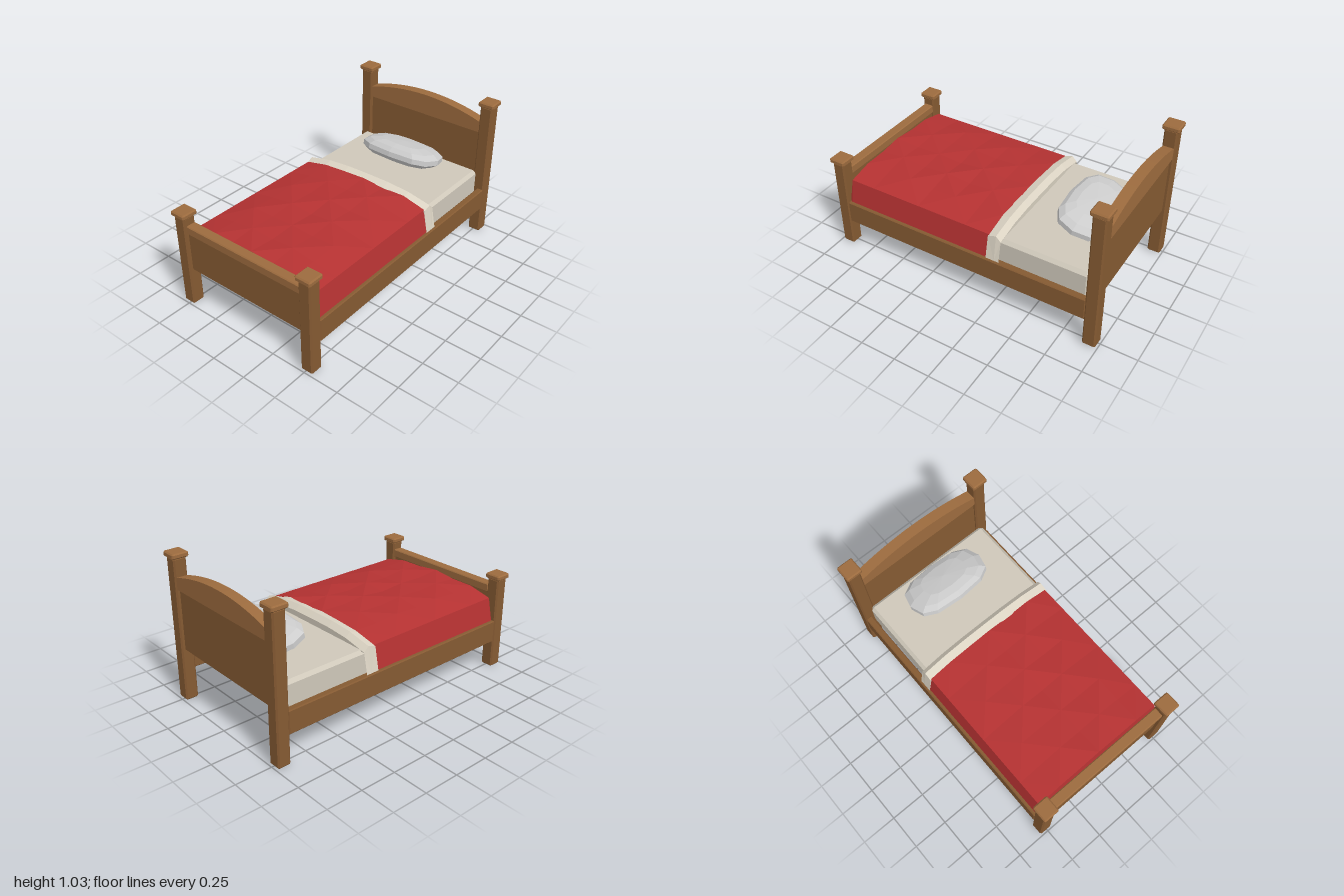
import * as THREE from 'three';
import { ConvexGeometry } from 'three/addons/geometries/ConvexGeometry.js';

const mat = (color, side = THREE.FrontSide) =>
  new THREE.MeshStandardMaterial({ color, flatShading: true, side });

// Box with chamfered edges, given by its extents on each axis
function chamferBox([x0, x1], [y0, y1], [z0, z1], b) {
  const half = [(x1 - x0) / 2, (y1 - y0) / 2, (z1 - z0) / 2];
  const pts = [];
  for (const sx of [-1, 1]) for (const sy of [-1, 1]) for (const sz of [-1, 1])
    for (let axis = 0; axis < 3; axis++) {
      const p = half.map((h, i) => (i === axis ? h : h - b));
      pts.push(new THREE.Vector3(sx * p[0], sy * p[1], sz * p[2]));
    }
  return new ConvexGeometry(pts).translate((x0 + x1) / 2, (y0 + y1) / 2, (z0 + z1) / 2);
}

// Cloth surface through rows of points, with alternating diagonals
function cloth(rows) {
  const n = rows[0].length, index = [];
  for (let j = 0; j < rows.length - 1; j++)
    for (let i = 0; i < n - 1; i++) {
      const a = j * n + i, b = a + 1, c = a + n, d = c + 1;
      if ((i + j) % 2) index.push(a, c, b, b, c, d);
      else index.push(a, c, d, a, d, b);
    }
  const g = new THREE.BufferGeometry();
  g.setAttribute('position', new THREE.Float32BufferAttribute(rows.flat(2), 3));
  g.setIndex(index);
  const flat = g.toNonIndexed();
  flat.computeVertexNormals();
  return flat;
}

export function createModel() {
  const bed = new THREE.Group();
  bed.name = 'bed';
  const wood = mat(0x855a32), trim = mat(0x9c6b3e);
  const add = (name, geometry, material) => {
    const m = new THREE.Mesh(geometry, material);
    m.name = name;
    bed.add(m);
    return m;
  };

  // Posts with square caps, and side rails
  for (const s of [-1, 1]) {
    const side = s > 0 ? 'left' : 'right';
    for (const [end, z, h] of [['Head', -0.942, 1.0], ['Foot', 0.942, 0.665]]) {
      const x = s * 0.508;
      add(`${side}${end}Post`, chamferBox([x - 0.045, x + 0.045], [0, h], [z - 0.045, z + 0.045], 0.01), wood);
      add(`${side}${end}Cap`, chamferBox([x - 0.057, x + 0.057], [h - 0.003, h + 0.033], [z - 0.058, z + 0.058], 0.008), trim);
    }
    const x = s * 0.527;
    add(`${side}SideRail`, chamferBox([x - 0.023, x + 0.023], [0.2, 0.36], [-0.9, 0.9], 0.006), wood);
  }

  // Footboard and headboard
  add('footboardPanel', chamferBox([-0.47, 0.47], [0.27, 0.553], [0.917, 0.96], 0.004), wood);
  add('footboardRail', chamferBox([-0.465, 0.465], [0.55, 0.61], [0.902, 0.972], 0.006), trim);
  add('headboardPanel', chamferBox([-0.47, 0.47], [0.37, 0.8], [-0.962, -0.917], 0.004), wood);
  const arch = new THREE.Shape();
  arch.moveTo(-0.465, 0.795);
  arch.lineTo(0.465, 0.795);
  arch.lineTo(0.465, 0.875);
  arch.quadraticCurveTo(0, 1.017, -0.465, 0.875);
  add('headboardCrown', new THREE.ExtrudeGeometry(arch, { depth: 0.072, bevelEnabled: false, curveSegments: 16 })
    .translate(0, 0, -0.978), trim);

  // Mattress
  add('mattress', chamferBox([-0.495, 0.495], [0.315, 0.51], [-0.89, 0.885], 0.022), mat(0xcfc8ba));

  // Blanket: crowned, quilted top with skirts at the sides and foot
  let seed = 7;
  const rand = () => (seed = (seed * 16807) % 2147483647) / 2147483647;
  const crown = (x) => 0.575 - 0.05 * Math.pow(Math.abs(x) / 0.5, 3);
  const xs = [-0.5, -0.333, -0.167, 0, 0.167, 0.333, 0.5];
  const rows = [];
  const rowCount = 6;
  for (let j = 0; j <= rowCount; j++) {
    const z = -0.205 + (1.085 * j) / rowCount;
    const top = xs.map((x, i) => {
      const inner = i > 0 && i < 6;
      const bump = inner ? ((i + j) % 2 ? 0.005 : -0.007) + (rand() - 0.5) * 0.01 : 0;
      return [x, crown(x) + bump, z];
    });
    rows.push([[-0.53, 0.355, z], ...top, [0.53, 0.355, z]]);
  }
  rows.push([[-0.53, 0.355, 0.88], ...xs.map((x) => [x * 1.04, 0.355, 0.9]), [0.53, 0.355, 0.88]]);
  add('blanket', cloth(rows), mat(0xb53232, THREE.DoubleSide));

  // Sheet folded back over the blanket's upper edge
  const foldProfile = [[-0.29, -1], [-0.292, -0.022], [-0.258, 0.012], [-0.2, -0.006], [-0.198, -1]];
  const foldRows = foldProfile.map(([z, lift]) => {
    const y = (x) => (lift === -1 ? 0.5 : crown(x) + lift);
    return [[-0.536, 0.36, z], ...xs.map((x) => [x * 1.015, y(x), z]), [0.536, 0.36, z]];
  });
  add('foldedSheet', cloth(foldRows), mat(0xdcd4c4, THREE.DoubleSide));

  // Pillow: a faceted, squared-off ellipsoid leaning back
  const pillow = new THREE.SphereGeometry(1, 12, 7);
  const p = pillow.attributes.position;
  const square = (v, e) => Math.sign(v) * Math.pow(Math.abs(v), e);
  for (let i = 0; i < p.count; i++) {
    const x = p.getX(i), y = p.getY(i), z = p.getZ(i);
    p.setXYZ(i, square(x, 0.7) * 0.305, square(y, 0.95) * 0.074, square(z, 0.7) * 0.18);
  }
  const pillowMesh = add('pillow', pillow, mat(0xf0f2f2));
  pillowMesh.position.set(0, 0.595, -0.665);
  pillowMesh.rotation.x = -0.25;

  return bed;
}
